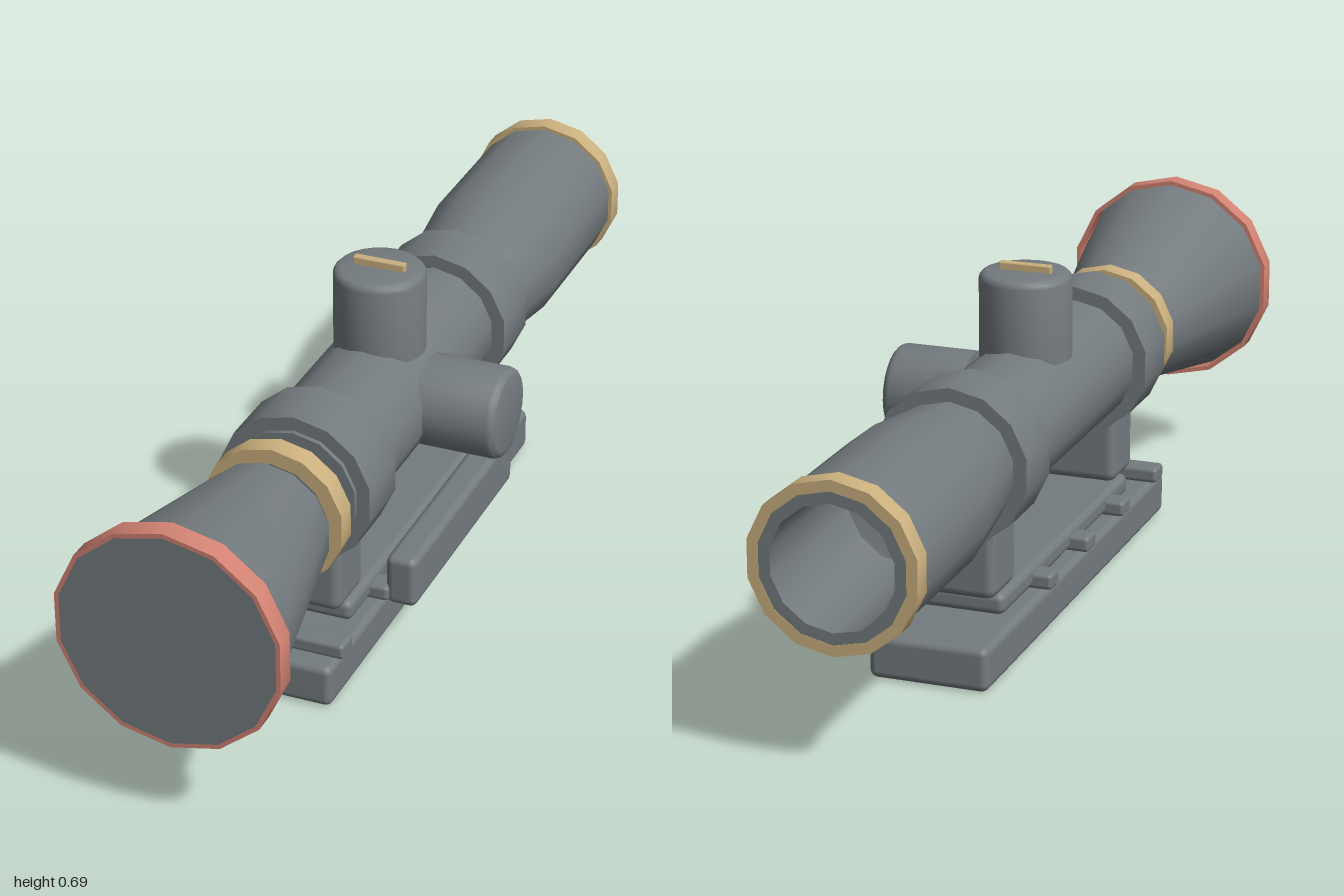
import * as THREE from 'three';
import { toCreasedNormals } from 'three/addons/utils/BufferGeometryUtils.js';
import { RoundedBoxGeometry } from 'three/addons/geometries/RoundedBoxGeometry.js';

const AXIS_X = -0.028, AXIS_Y = 0.402, SIDES = 14;

export function createModel() {
  const group = new THREE.Group();
  const material = (name, color) => {
    const m = new THREE.MeshStandardMaterial({ color });
    m.name = name;
    return m;
  };
  const grey = material('gunmetal grey', 0x747b7f);
  const gold = material('pale gold', 0xcbb07e);
  const red = material('coral red', 0xd28373);

  const add = (name, geometry, mat, x = 0, y = 0, z = 0) => {
    const mesh = new THREE.Mesh(geometry, mat);
    mesh.name = name;
    mesh.position.set(x, y, z);
    group.add(mesh);
    return mesh;
  };
  const lathe = (points, sides) => toCreasedNormals(
    new THREE.LatheGeometry(points.map(p => new THREE.Vector2(...p)), sides), 0.6);
  // Faceted tube parts turned about the sight axis; points are [radius, z]
  const turned = (name, points, mat) =>
    add(name, lathe(points, SIDES).rotateX(Math.PI / 2), mat, AXIS_X, AXIS_Y, 0);
  const ring = (name, inner, outer, z0, z1, mat) =>
    turned(name, [[inner, z0], [outer, z0], [outer, z1], [inner, z1], [inner, z0]], mat);
  // Rounded box given by its limits on each axis
  const block = (name, x0, x1, y0, y1, z0, z1, radius) =>
    add(name, new RoundedBoxGeometry(x1 - x0, y1 - y0, z1 - z0, 2, radius), grey,
      (x0 + x1) / 2, (y0 + y1) / 2, (z0 + z1) / 2);

  // Flared front bell with its rim
  turned('frontBell', [[0, 0.56], [0.131, 0.56], [0.219, 1], [0, 1]], grey);
  ring('frontRim', 0.2185, 0.228, 0.957, 1, red);

  // Free-standing collar behind the bell
  ring('collarRing', 0.115, 0.146, 0.49, 0.535, gold);

  // Main tube, with the hollow eyepiece at the back
  turned('mainTube', [[0, -0.45], [0.132, -0.45], [0.132, 0.44], [0, 0.44]], grey);
  turned('eyepiece', [[0, -0.6], [0.122, -0.64], [0.122, -0.999], [0.147, -0.999],
    [0.159, -0.99], [0.159, -0.63], [0.132, -0.42]], grey);
  ring('eyepieceRing', 0.145, 0.167, -1, -0.957, gold);

  // Two clamps, each a ring on a foot
  for (const z of [0.365, -0.36]) {
    ring('clampRing', 0.125, 0.16, z - 0.065, z + 0.065, grey);
    block('clampFoot', -0.117, 0.061, 0.137, 0.285, z - 0.063, z + 0.063, 0.02);
  }

  // Adjusting knobs on the top and the left
  const R = 0.094, bevel = 0.016, knobPoints = top => {
    const points = [[0, 0], [R, 0]];
    for (let i = 0; i <= 3; i++) {
      const a = i * Math.PI / 6;
      points.push([R - bevel + bevel * Math.cos(a), top - bevel + bevel * Math.sin(a)]);
    }
    return [...points, [0, top]];
  };
  add('topKnob', lathe(knobPoints(0.176), 24), grey, AXIS_X, 0.503, 0);
  add('sideKnob', lathe(knobPoints(0.17), 24).rotateZ(-Math.PI / 2), grey, 0.08, AXIS_Y, 0);
  add('topKnobMarker', new RoundedBoxGeometry(0.11, 0.018, 0.018, 1, 0.003), gold,
    AXIS_X, 0.685, 0);

  // Base, with its upper plate and side housing
  block('base', -0.15, 0.094, 0, 0.09, -0.55, 0.55, 0.016);
  block('upperPlate', -0.122, 0.068, 0.092, 0.137, -0.382, 0.385, 0.016);
  block('sideHousing', 0.095, 0.16, 0.08, 0.19, -0.275, 0.275, 0.016);

  // Cross bars along the base
  for (const z of [0.485, 0.26, 0.035, -0.19]) {
    block('crossBar', -0.161, 0.105, 0.09, 0.123, z - 0.026, z + 0.026, 0.009);
  }

  return group;
}
